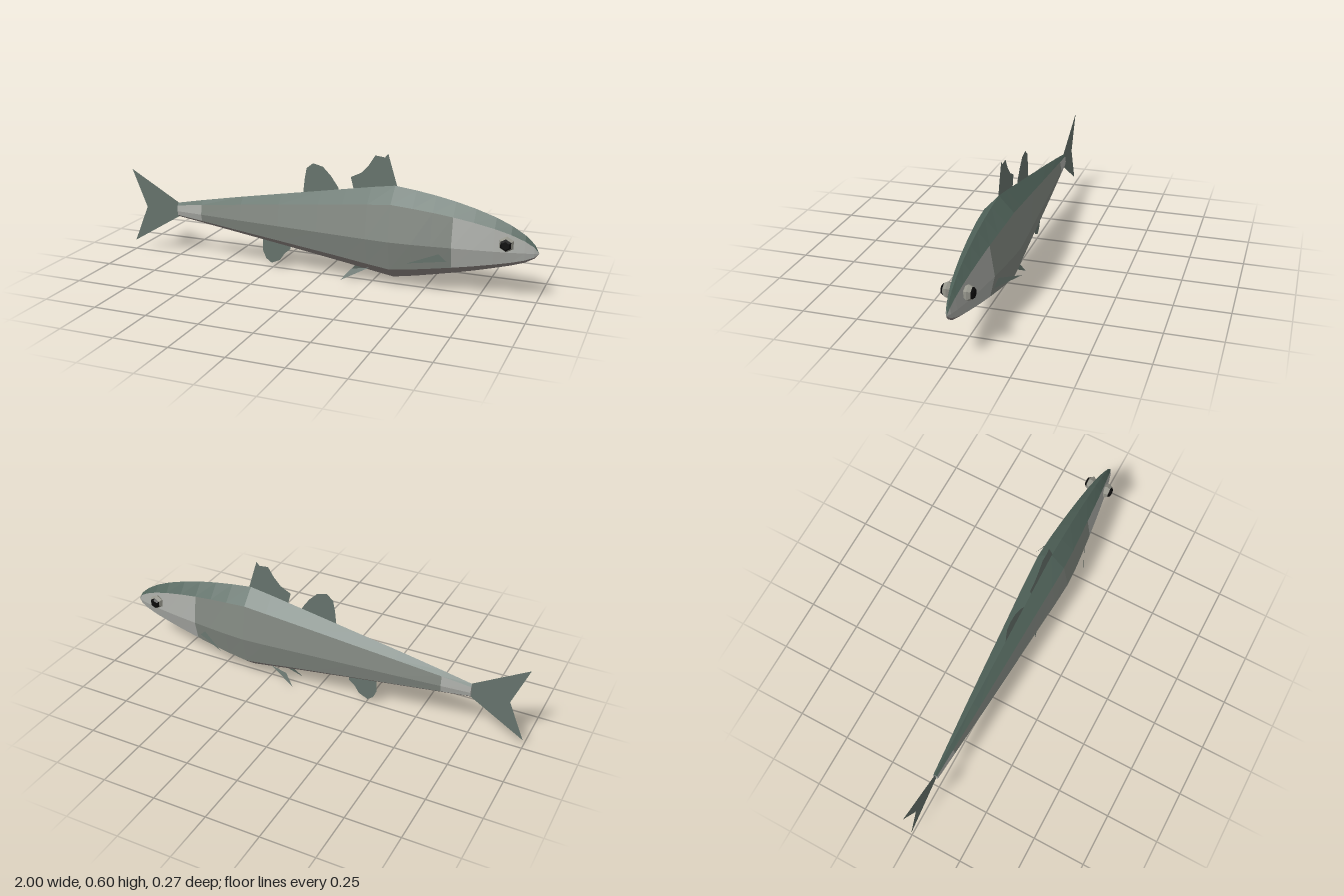
import * as THREE from 'three';

const MID = 0.225; // height of the lateral line

// Body stations: x, top, bottom, half width
const RINGS = [
  [-0.75, 0.265, 0.197, 0.013], [-0.615, 0.292, 0.178, 0.024], [-0.4, 0.332, 0.147, 0.042],
  [-0.2, 0.367, 0.118, 0.057], [0, 0.402, 0.088, 0.071], [0.12, 0.423, 0.07, 0.08],
  [0.24, 0.444, 0.05, 0.089], [0.35, 0.461, 0.033, 0.095], [0.45, 0.449, 0.051, 0.09],
  [0.54, 0.435, 0.07, 0.081], [0.63, 0.417, 0.09, 0.071], [0.72, 0.394, 0.112, 0.06],
  [0.81, 0.365, 0.136, 0.047], [0.88, 0.335, 0.156, 0.035], [0.94, 0.299, 0.177, 0.022],
  [0.98, 0.263, 0.2, 0.011], [1, MID, MID, 0],
];
const HEAD = 10, NOSE = RINGS.length - 1;

const paint = (color, side = THREE.FrontSide) =>
  new THREE.MeshStandardMaterial({ color, side, flatShading: true });

// Eight-sided section, from the ridge of the back round the +z side
function section([x, top, bottom, w]) {
  const up = MID + (top - MID) * 0.7, low = MID + (bottom - MID) * 0.71, s = w * 0.705;
  return [[top, 0], [up, s], [MID, w], [low, s], [bottom, 0], [low, -s], [MID, -w], [up, -s]]
    .map(([y, z]) => [x, y, z]);
}

function facets(points) {
  const g = new THREE.BufferGeometry();
  g.setAttribute('position', new THREE.Float32BufferAttribute(points.flat(), 3));
  g.computeVertexNormals();
  return g;
}

// Skin between two stations, covering the chosen sides of the section
function skin(from, to, sides) {
  const points = [];
  for (let i = from; i < to; i++) {
    const p = section(RINGS[i]), q = section(RINGS[i + 1]);
    for (const j of sides) {
      const k = (j + 1) % 8;
      points.push(p[j], p[k], q[j]);
      if (i + 1 < NOSE) points.push(q[j], p[k], q[k]);
    }
  }
  return facets(points);
}

export function createModel() {
  const model = new THREE.Group();
  const add = (name, geometry, material, parent = model) => {
    const mesh = new THREE.Mesh(geometry, material);
    mesh.name = name;
    parent.add(mesh);
    return mesh;
  };

  const backMat = paint(0x50635a), sideMat = paint(0x80867f), paleMat = paint(0xa9aba6);
  const bellyMat = paint(0x8d8582), finMat = paint(0x66736c, THREE.DoubleSide);
  const eyeMat = paint(0x96968c), pupilMat = paint(0x0a0a0a);

  // Body, in colour bands
  const flanks = [1, 2, 5, 6];
  add('back', skin(0, NOSE, [0, 7]), backMat);
  add('belly', skin(0, NOSE, [3, 4]), bellyMat);
  add('tailStem', skin(0, 1, flanks), paleMat);
  add('flanks', skin(1, HEAD, flanks), sideMat);
  add('cheeks', skin(HEAD, NOSE, flanks), paleMat);
  const end = section(RINGS[0]), centre = [RINGS[0][0], MID, 0];
  add('tailEnd', facets(end.flatMap((p, j) => [centre, end[(j + 1) % 8], p])), paleMat);

  // Upright fins in the middle plane
  const fins = {
    firstDorsalFin: [[0.36, 0.455], [0.315, 0.602], [0.3, 0.585], [0.255, 0.59], [0.225, 0.543],
      [0.19, 0.505], [0.14, 0.48], [0.155, 0.42]],
    secondDorsalFin: [[0.085, 0.405], [0.08, 0.425], [0.045, 0.475], [0.005, 0.515], [-0.043, 0.527],
      [-0.075, 0.502], [-0.085, 0.45], [-0.093, 0.38]],
    analFin: [[-0.3, 0.14], [-0.302, 0.078], [-0.285, 0.04], [-0.257, 0.02], [-0.213, 0.04],
      [-0.19, 0.075], [-0.16, 0.1], [-0.16, 0.12]],
    tailFin: [[-0.745, 0.264], [-1, 0.41], [-0.925, MID], [-1, 0.045], [-0.745, 0.198]],
  };
  for (const [name, outline] of Object.entries(fins)) {
    const shape = new THREE.Shape(outline.map(([x, y]) => new THREE.Vector2(x, y)));
    add(name, new THREE.ShapeGeometry(shape), finMat);
  }

  // Eye turned about its axis: a ball with a flat dark pupil
  const lathe = (profile) =>
    new THREE.LatheGeometry(profile.map(([r, h]) => new THREE.Vector2(r, h)), 6).rotateX(Math.PI / 2);
  const ball = lathe([[0, -0.034], [0.024, -0.026], [0.036, -0.008], [0.027, 0.008]]);
  const pupil = lathe([[0.027, 0.008], [0.018, 0.018], [0, 0.018]]);

  // Paired parts
  for (const s of [1, -1]) {
    const side = s > 0 ? 'front' : 'back';
    const tri = (...p) => facets(p.map(([x, y, z]) => [x, y, z * s]));
    add(side + 'PectoralFin',
      tri([0.595, 0.197, 0.06], [0.61, 0.157, 0.058], [0.45, 0.153, 0.133]), finMat);
    add(side + 'PelvicFin',
      tri([0.155, 0.055, 0.03], [0.24, 0.068, 0.02], [0.11, 0, 0.05]), finMat);

    const eye = new THREE.Group();
    eye.name = side + 'Eye';
    eye.position.set(0.865, 0.264, 0.05 * s);
    if (s < 0) eye.rotation.y = Math.PI;
    add('eyeball', ball, eyeMat, eye);
    add('pupil', pupil, pupilMat, eye);
    model.add(eye);
  }
  return model;
}
